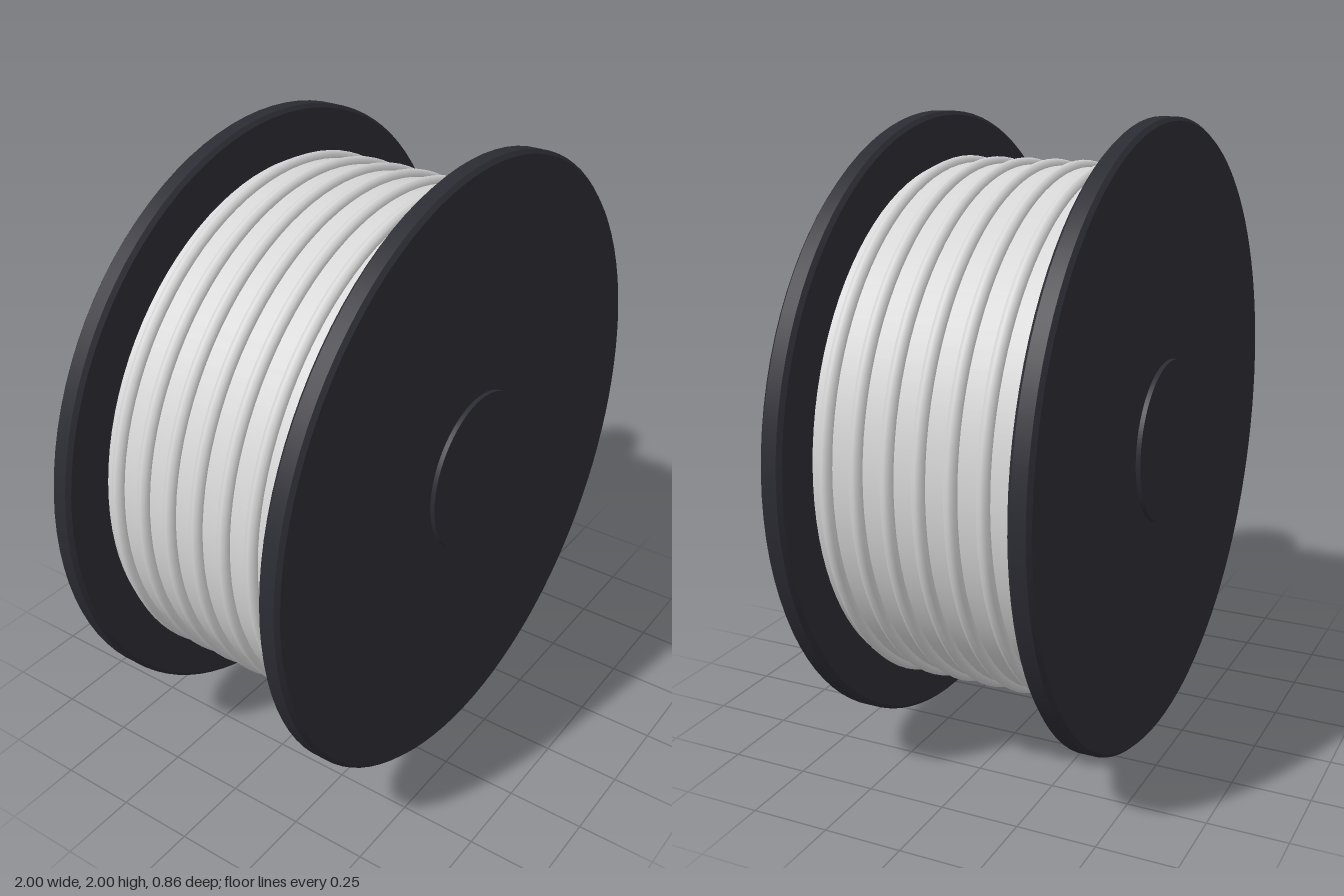
import * as THREE from 'three';

const plastic = new THREE.MeshStandardMaterial({ color: 0x2b2b33 });
plastic.name = 'dark plastic';
const filament = new THREE.MeshStandardMaterial({ color: 0xd6d6d6 });
filament.name = 'light grey filament';

// Solid of revolution about z; each profile segment keeps its own normals so edges stay crisp
function turned(name, profile, material, segments = 96) {
  const group = new THREE.Group();
  group.name = name;
  for (let i = 0; i < profile.length - 1; i++) {
    const points = [profile[i], profile[i + 1]].map(([r, z]) => new THREE.Vector2(r, z));
    const mesh = new THREE.Mesh(new THREE.LatheGeometry(points, segments), material);
    mesh.rotation.x = Math.PI / 2;
    mesh.name = name + 'Surface';
    group.add(mesh);
  }
  return group;
}

export function createModel() {
  const model = new THREE.Group();
  model.name = 'spool';
  const body = new THREE.Group();
  body.name = 'spoolBody';
  body.position.y = 1;
  model.add(body);

  // End flanges with a small chamfer, and raised centre caps
  const bevel = 0.012;
  for (const [side, s] of [['front', 1], ['back', -1]]) {
    const flange = turned(side + 'Flange', [
      [0, -0.035], [1 - bevel, -0.035], [1, -0.035 + bevel],
      [1, 0.035 - bevel], [1 - bevel, 0.035], [0, 0.035],
    ], plastic);
    flange.position.z = s * 0.38;
    body.add(flange);

    const cap = turned(side + 'HubCap', [[0, -0.02], [0.26, -0.02], [0.26, 0.02], [0, 0.02]], plastic, 64);
    cap.position.z = s * 0.41;
    body.add(cap);
  }

  // Wound filament drum
  body.add(turned('woundDrum', [[0.84, -0.35], [0.84, 0.35]], filament));

  // Raised strands around the drum
  const ring = new THREE.TorusGeometry(0.84, 0.021, 8, 96);
  for (let i = -3; i <= 3; i++) {
    const strand = new THREE.Mesh(ring, filament);
    strand.name = 'filamentStrand';
    strand.position.z = i * 0.1;
    body.add(strand);
  }
  return model;
}
